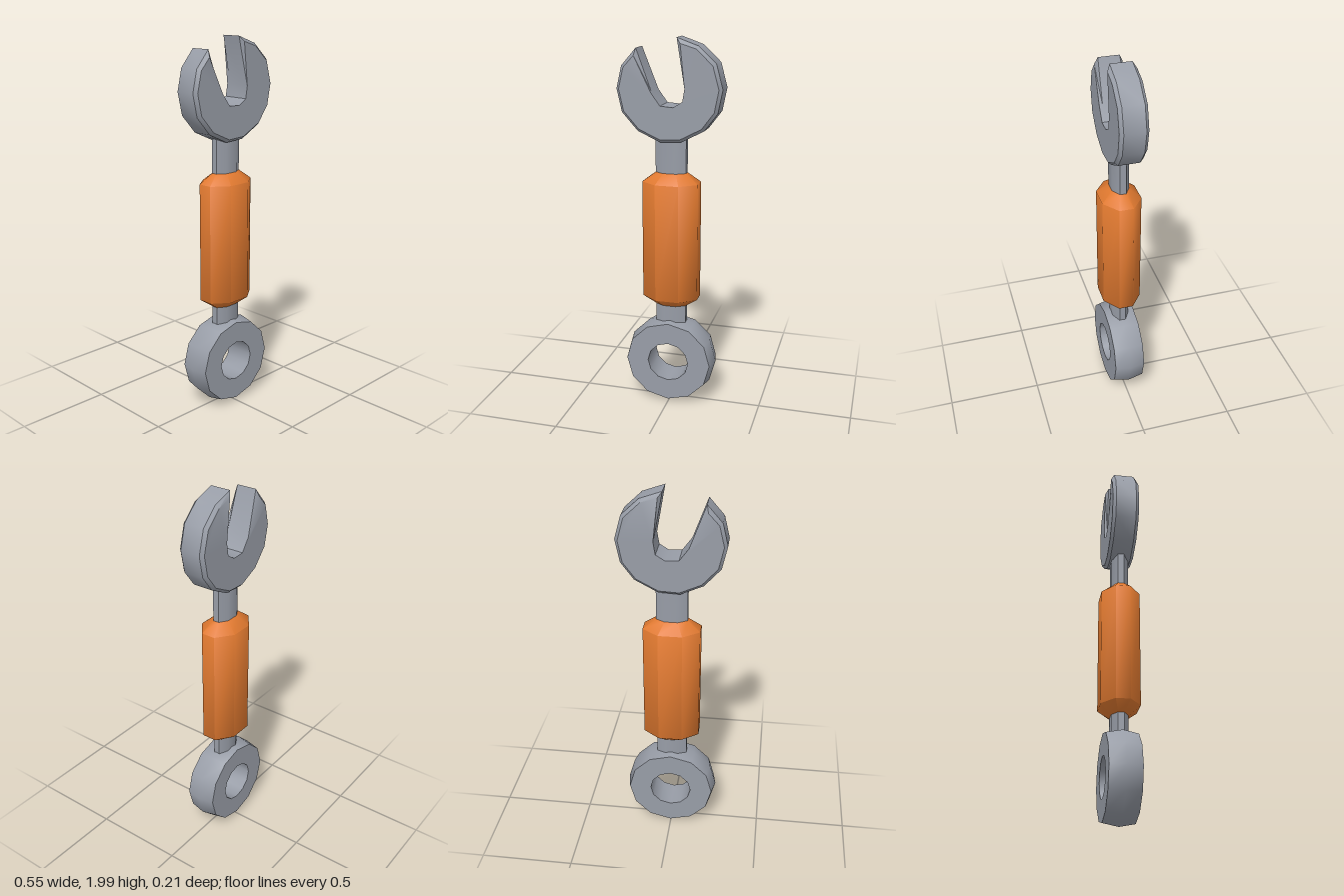
import * as THREE from 'three';
import { toCreasedNormals } from 'three/addons/utils/BufferGeometryUtils.js';

// Skin a series of matching closed loops of [x, y, z]; extra holds cap triangles.
function loft(loops, crease, extra = []) {
  const n = loops[0].length;
  const index = [...extra];
  for (let j = 0; j < loops.length - 1; j++) {
    for (let i = 0; i < n; i++) {
      const k = (i + 1) % n;
      const a = j * n + i, b = j * n + k, c = b + n, d = a + n;
      index.push(a, b, c, a, c, d);
    }
  }
  const geo = new THREE.BufferGeometry();
  geo.setAttribute('position', new THREE.Float32BufferAttribute(loops.flat(2), 3));
  geo.setIndex(index);
  return toCreasedNormals(geo, crease);
}

// Flattened octagon section at height y.
function section(y, hx, hz) {
  const ix = hx * 0.42, iz = hz * 0.37;
  return [[-ix, hz], [ix, hz], [hx, iz], [hx, -iz], [ix, -hz], [-ix, -hz], [-hx, -iz], [-hx, iz]]
    .map(([x, z]) => [x, y, z]);
}

// Open jaw: bevelled outer edge, plain slot walls.
function jawGeometry() {
  const rim = [[-0.25, 1.855], [-0.277, 1.74], [-0.25, 1.62], [-0.165, 1.525], [-0.047, 1.472],
    [0.065, 1.477], [0.185, 1.54], [0.253, 1.63], [0.277, 1.75], [0.243, 1.875], [0.153, 1.96]];
  const slot = [[0.085, 1.75], [0.074, 1.685], [0.025, 1.655], [-0.042, 1.66], [-0.09, 1.725]];
  const inset = rim.map(([x, y]) => [x * 0.94, 1.74 + (y - 1.74) * 0.94]);
  const mid = [[-0.172, 1.945], ...rim, [0.04, 2], ...slot];
  const face = [[-0.18, 1.908], ...inset, [0.062, 1.972], ...slot];
  const at = (pts, z) => pts.map(([x, y]) => [x, y, z]);
  const loops = [at(face, -0.072), at(mid, -0.055), at(mid, 0.055), at(face, 0.072)];
  const tris = THREE.ShapeUtils.triangulateShape(face.map(p => new THREE.Vector2(...p)), []);
  const top = 3 * face.length;
  const caps = tris.flatMap(([a, b, c]) => [a, c, b, a + top, b + top, c + top]);
  return loft(loops, 0.7, caps);
}

// Closed ring: twelve sides with a shallow ridge round the middle.
function ringGeometry() {
  const profile = [[0.113, -0.083], [0.234, -0.083], [0.251, 0], [0.234, 0.083], [0.113, 0.083], [0.113, -0.083]]
    .map(p => new THREE.Vector2(...p));
  const geo = new THREE.LatheGeometry(profile, 12);
  geo.rotateX(Math.PI / 2);
  geo.scale(1, 0.965, 1);
  geo.translate(0, 0.25, 0);
  return toCreasedNormals(geo, 0.7);
}

export function createModel() {
  const steel = new THREE.MeshStandardMaterial({ color: 0x989da7 });
  steel.name = 'steel grey';
  const orange = new THREE.MeshStandardMaterial({ color: 0xe27a30 });
  orange.name = 'grip orange';

  const group = new THREE.Group();
  group.name = 'wrench';
  const add = (name, geo, mat) => {
    const mesh = new THREE.Mesh(geo, mat);
    mesh.name = name;
    group.add(mesh);
  };

  add('openJaw', jawGeometry(), steel);
  add('ringEnd', ringGeometry(), steel);
  add('shaft', loft([section(0.44, 0.082, 0.045), section(1.52, 0.082, 0.045)], 1), steel);

  // Grip with tapered ends closing onto the shaft
  add('grip', loft([
    section(0.565, 0.08, 0.043), section(0.615, 0.15, 0.104),
    section(1.255, 0.15, 0.104), section(1.308, 0.08, 0.043),
  ], 1), orange);

  return group;
}
